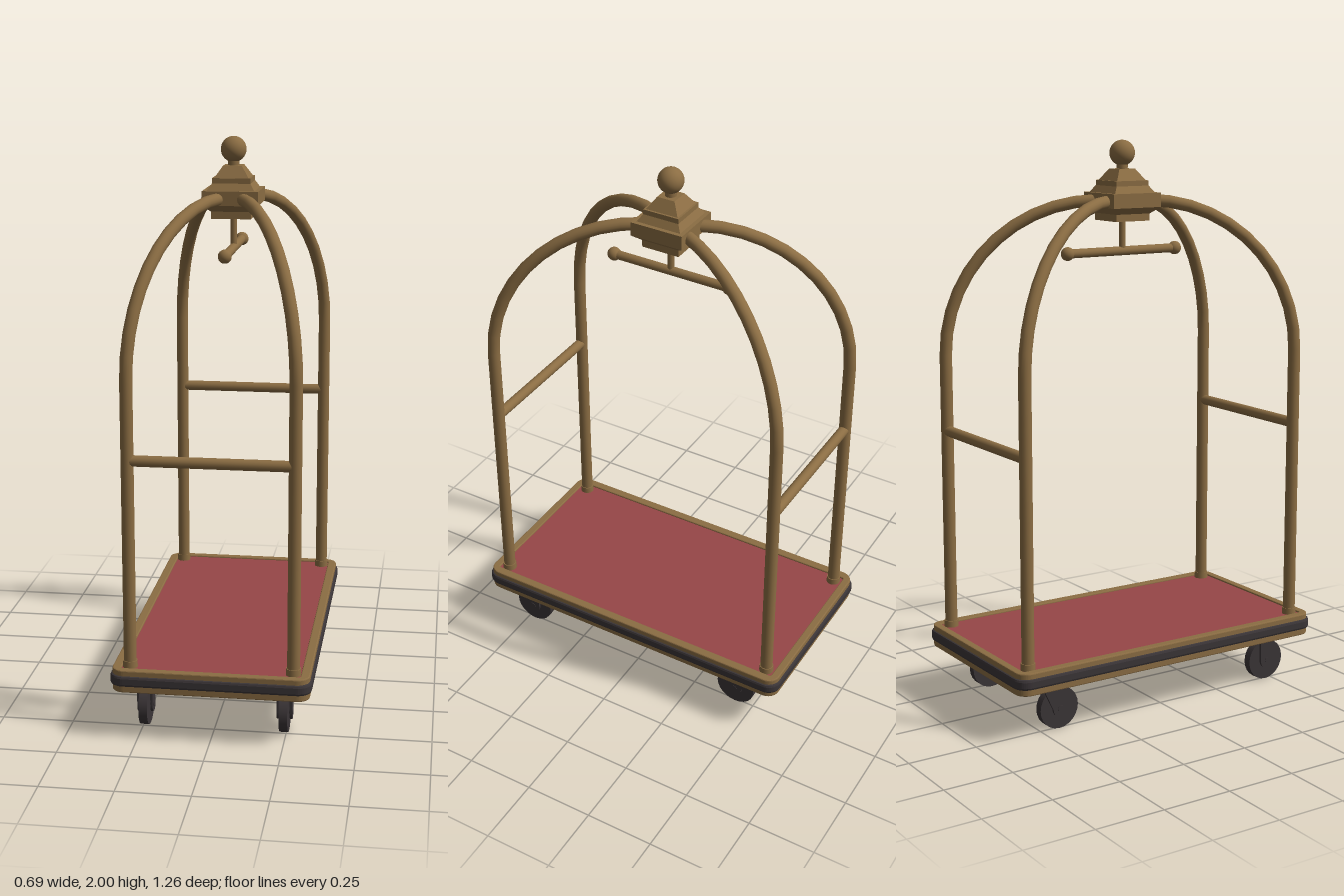
import * as THREE from 'three';

const brass = new THREE.MeshStandardMaterial({ color: 0x8b6d43 });
const carpet = new THREE.MeshStandardMaterial({ color: 0x974648 });
const rubber = new THREE.MeshStandardMaterial({ color: 0x3b3537 });
brass.name = 'brass';
carpet.name = 'carpet red';
rubber.name = 'dark rubber';

const POLE_X = 0.28, POLE_Z = 0.563, ARCH_Y = 1.25;

function add(parent, name, geometry, material, x = 0, y = 0, z = 0) {
  const mesh = new THREE.Mesh(geometry, material);
  mesh.name = name;
  mesh.position.set(x, y, z);
  parent.add(mesh);
  return mesh;
}

function roundedRect(Type, hx, hy, r) {
  const s = new Type();
  s.moveTo(hx, hy - r);
  s.absarc(hx - r, hy - r, r, 0, Math.PI / 2);
  s.absarc(-hx + r, hy - r, r, Math.PI / 2, Math.PI);
  s.absarc(-hx + r, -hy + r, r, Math.PI, Math.PI * 1.5);
  s.absarc(hx - r, -hy + r, r, Math.PI * 1.5, Math.PI * 2);
  s.closePath();
  return s;
}

// Rectangular ring lying flat between y0 and y1, with bevelled edges
function flatRing(hx, hz, r, y0, y1, bevel) {
  const shape = roundedRect(THREE.Shape, hx - bevel, hz - bevel, r);
  shape.holes.push(roundedRect(THREE.Path, 0.314 - bevel, 0.602 - bevel, 0.012));
  const g = new THREE.ExtrudeGeometry(shape, {
    depth: y1 - y0 - 2 * bevel, bevelThickness: bevel, bevelSize: bevel,
    bevelSegments: 2, curveSegments: 6,
  });
  return g.rotateX(-Math.PI / 2).translate(0, y0 + bevel, 0);
}

// Quarter-ellipse that carries a pole up into the crown
class ArchCurve extends THREE.Curve {
  constructor(sx, sz) {
    super();
    this.sx = sx;
    this.sz = sz;
  }
  getPoint(t, target = new THREE.Vector3()) {
    const a = t * Math.PI / 2, c = Math.cos(a);
    return target.set(
      this.sx * (0.04 + (POLE_X - 0.04) * c),
      ARCH_Y + 0.54 * Math.sin(a),
      this.sz * (0.08 + (POLE_Z - 0.08) * c));
  }
}

// Square stepped solid from [half width, y] pairs, bottom to top
function squareTurned(profile) {
  const pts = profile.map(([h, y]) => new THREE.Vector2(h * Math.SQRT2, y));
  const g = new THREE.LatheGeometry(pts, 4, Math.PI / 4).toNonIndexed();
  g.computeVertexNormals();
  return g;
}

// Caster with its fork running from topZ down to the axle at axleZ
function makeCaster(name, x, topZ, axleZ) {
  const caster = new THREE.Group();
  caster.name = name;
  caster.position.x = x;
  const wheel = new THREE.CylinderGeometry(0.075, 0.075, 0.03, 24).rotateZ(Math.PI / 2);
  add(caster, 'wheel', wheel, rubber, 0, 0.078, axleZ);
  const axle = new THREE.CylinderGeometry(0.012, 0.012, 0.058, 10).rotateZ(Math.PI / 2);
  add(caster, 'axle', axle, rubber, 0, 0.078, axleZ);
  const s = new THREE.Shape();
  s.moveTo(topZ + 0.033, 0.178);
  s.lineTo(topZ - 0.033, 0.178);
  s.absarc(axleZ, 0.078, 0.03, Math.PI, Math.PI * 2);
  s.closePath();
  const plate = new THREE.ExtrudeGeometry(s, { depth: 0.008, bevelEnabled: false, curveSegments: 8 });
  plate.rotateY(-Math.PI / 2).translate(0.004, 0, 0);
  for (const side of [-1, 1]) add(caster, 'forkPlate', plate, rubber, side * 0.023, 0, 0);
  add(caster, 'forkBridge', new THREE.BoxGeometry(0.046, 0.018, 0.066), rubber, 0, 0.168, topZ);
  return caster;
}

export function createModel() {
  const model = new THREE.Group();
  model.name = 'luggageCart';

  // Platform: brass rims, rubber bumper between them, carpeted deck
  add(model, 'lowerRim', flatRing(0.338, 0.623, 0.04, 0.175, 0.205, 0.004), brass);
  add(model, 'upperRim', flatRing(0.338, 0.623, 0.04, 0.228, 0.255, 0.004), brass);
  add(model, 'bumper', flatRing(0.345, 0.63, 0.04, 0.197, 0.236, 0.009), rubber);
  add(model, 'deck', new THREE.BoxGeometry(0.636, 0.068, 1.212), carpet, 0, 0.215, 0);

  // Four poles with collars, each bending into an arch
  const pole = new THREE.CylinderGeometry(0.022, 0.022, ARCH_Y - 0.24, 16, 1, true);
  const collar = new THREE.CylinderGeometry(0.025, 0.026, 0.025, 16);
  for (const sx of [-1, 1]) {
    for (const sz of [-1, 1]) {
      add(model, 'pole', pole, brass, sx * POLE_X, (ARCH_Y + 0.24) / 2, sz * POLE_Z);
      add(model, 'poleCollar', collar, brass, sx * POLE_X, 0.26, sz * POLE_Z);
      add(model, 'arch', new THREE.TubeGeometry(new ArchCurve(sx, sz), 11, 0.022, 16), brass);
    }
  }

  // Cross bars joining the poles at each end
  const bar = new THREE.CylinderGeometry(0.019, 0.019, POLE_X * 2, 16).rotateZ(Math.PI / 2);
  for (const sz of [-1, 1]) add(model, 'crossBar', bar, brass, 0, 0.977, sz * POLE_Z);

  // Stepped square crown with ball finial
  add(model, 'crown', squareTurned([
    [0, 1.72], [0.07, 1.72], [0.07, 1.745], [0.098, 1.768], [0.098, 1.818],
    [0.083, 1.818], [0.067, 1.842], [0.067, 1.86], [0.06, 1.86],
    [0.033, 1.9], [0, 1.9],
  ]), brass);
  add(model, 'finialNeck', new THREE.CylinderGeometry(0.02, 0.02, 0.04, 16), brass, 0, 1.91, 0);
  add(model, 'finialBall', new THREE.SphereGeometry(0.045, 24, 16), brass, 0, 1.955, 0);

  // Hanging rail under the crown
  add(model, 'railStem', new THREE.CylinderGeometry(0.012, 0.012, 0.12, 12), brass, 0, 1.665, 0);
  const rail = new THREE.CylinderGeometry(0.016, 0.016, 0.45, 16).rotateX(Math.PI / 2);
  add(model, 'hangingRail', rail, brass, 0, 1.612, 0);
  for (const sz of [-1, 1]) {
    add(model, 'railEndBall', new THREE.SphereGeometry(0.024, 16, 12), brass, 0, 1.612, sz * 0.226);
  }

  // Straight front casters and trailing rear casters
  for (const sx of [-1, 1]) {
    model.add(makeCaster('frontCaster', sx * 0.243, 0.473, 0.473));
    model.add(makeCaster('rearCaster', sx * 0.243, -0.473, -0.428));
  }
  return model;
}
